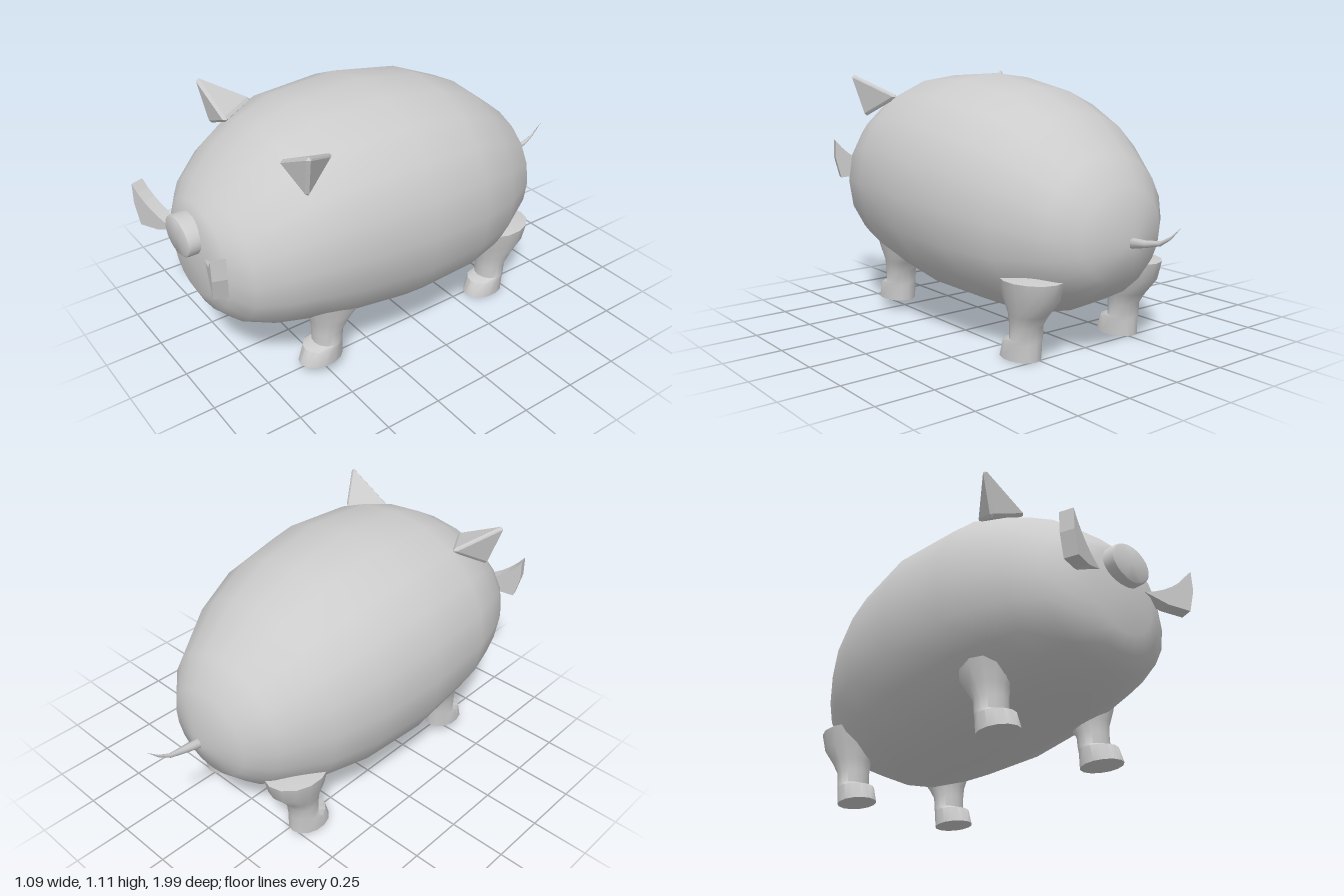
import * as THREE from 'three';
import { mergeVertices, toCreasedNormals } from 'three/addons/utils/BufferGeometryUtils.js';
import { ConvexGeometry } from 'three/addons/geometries/ConvexGeometry.js';

const grey = new THREE.MeshStandardMaterial({ color: 0xcccccc });

function mesh(name, geometry) {
  const m = new THREE.Mesh(geometry, grey);
  m.name = name;
  return m;
}

// Skin over rings; the first and last ring shrink to a point.
function loft(rings, sides, pointAt) {
  const pos = [], index = [], last = rings.length - 2;
  for (const ring of rings)
    for (let j = 0; j < sides; j++) pos.push(...pointAt(ring, (j / sides) * Math.PI * 2));
  for (let i = 0; i <= last; i++)
    for (let j = 0; j < sides; j++) {
      const k = (j + 1) % sides;
      const a = i * sides + j, b = i * sides + k, c = b + sides, d = a + sides;
      if (i > 0) index.push(a, b, c);
      if (i < last) index.push(a, c, d);
    }
  let g = new THREE.BufferGeometry();
  g.setAttribute('position', new THREE.Float32BufferAttribute(pos, 3));
  g.setIndex(index);
  g = mergeVertices(g, 1e-5);
  g.computeVertexNormals();
  return g;
}

// Slightly squared oval in the xy plane; ring = [z, halfWidth, bottom, top]
function ovalXY([z, w, bottom, top], t) {
  const sq = (v) => Math.sign(v) * Math.pow(Math.abs(v), 0.95);
  return [w * sq(Math.cos(t)), (top + bottom) / 2 + ((top - bottom) / 2) * sq(Math.sin(t)), z];
}

// Oval in the xz plane; ring = [y, halfWidth, back, front]
function ovalXZ([y, w, back, front], t) {
  return [w * Math.sin(t), y, (front + back) / 2 + ((front - back) / 2) * Math.cos(t)];
}

function body() {
  return mesh('body', loft([
    [-0.765, 0, 0.49, 0.49],
    [-0.70, 0.21, 0.32, 0.70],
    [-0.61, 0.315, 0.235, 0.815],
    [-0.41, 0.435, 0.14, 0.97],
    [-0.20, 0.508, 0.118, 1.06],
    [0.10, 0.545, 0.125, 1.11],
    [0.42, 0.522, 0.17, 1.09],
    [0.58, 0.47, 0.20, 1.035],
    [0.70, 0.42, 0.225, 0.965],
    [0.82, 0.345, 0.275, 0.855],
    [0.88, 0.25, 0.33, 0.79],
    [0.912, 0.17, 0.40, 0.74],
    [0.925, 0, 0.57, 0.57],
  ], 20, ovalXY));
}

// Leg with a toe ledge and a flare into the belly; z is measured from the heel
function leg(name, x, y, z) {
  const g = loft([
    [0, 0, 0.1, 0.1],
    [0, 0.075, 0, 0.2],
    [0.07, 0.075, 0, 0.175],
    [0.085, 0.07, 0, 0.13],
    [0.14, 0.07, -0.005, 0.13],
    [0.19, 0.08, -0.04, 0.135],
    [0.26, 0.105, -0.10, 0.16],
    [0.34, 0.12, -0.12, 0.18],
    [0.36, 0, 0.03, 0.03],
  ], 14, ovalXZ);
  const m = mesh(name, toCreasedNormals(g, 0.9));
  m.position.set(x, y, z);
  return m;
}

// Three-sided ear with softened corners
function ear(name, s) {
  const r = 0.012, points = [];
  const corners = [[0.425, 1.085, 0.613], [0.225, 0.985, 0.605], [0.375, 0.92, 0.595], [0.31, 1.0, 0.455]];
  for (const [x, y, z] of corners)
    for (const d of [-r, r])
      points.push(
        new THREE.Vector3(s * x + d, y, z),
        new THREE.Vector3(s * x, y + d, z),
        new THREE.Vector3(s * x, y, z + d));
  return mesh(name, new ConvexGeometry(points));
}

// Flat curved tusk, angled forward from the face
function tusk(name, s) {
  const shape = new THREE.Shape();
  shape.moveTo(0, 0.62);
  shape.quadraticCurveTo(s * 0.14, 0.65, s * 0.222, 0.76);
  shape.lineTo(s * 0.224, 0.67);
  shape.lineTo(s * 0.2, 0.575);
  shape.lineTo(s * 0.1, 0.585);
  shape.closePath();
  const m = mesh(name, new THREE.ExtrudeGeometry(shape, { depth: 0.058, bevelEnabled: false, curveSegments: 6 }));
  m.position.set(s * 0.15, 0, 0.862);
  m.rotation.y = -0.34 * s;
  return m;
}

// Oval disc with a rounded rim
function snout() {
  const profile = [[0, 0], [0.106, 0], [0.106, 0.085], [0.103, 0.094], [0.095, 0.098], [0, 0.098]];
  const g = new THREE.LatheGeometry(profile.map(([r, y]) => new THREE.Vector2(r, y)), 28);
  g.rotateX(Math.PI / 2);
  g.scale(1, 0.77, 1);
  const m = mesh('snout', toCreasedNormals(g, 0.7));
  m.position.set(0, 0.675, 0.868);
  return m;
}

// Tapering tail, curling upward
function tail() {
  return mesh('tail', loft([
    [-1, 0, 0.59, 0.59],
    [-0.95, 0.004, 0.535, 0.548],
    [-0.9, 0.009, 0.502, 0.522],
    [-0.83, 0.014, 0.483, 0.512],
    [-0.75, 0.021, 0.465, 0.51],
    [-0.72, 0, 0.49, 0.49],
  ], 8, ovalXY));
}

export function createModel() {
  const model = new THREE.Group();
  model.name = 'boar';
  model.add(body(), snout(), tail());
  for (const [side, s] of [['left', 1], ['right', -1]]) {
    model.add(
      leg(side + 'FrontLeg', s * 0.282, 0.05, 0.41),
      leg(side + 'HindLeg', s * 0.273, 0, -0.51),
      ear(side + 'Ear', s),
      tusk(side + 'Tusk', s));
  }
  return model;
}
